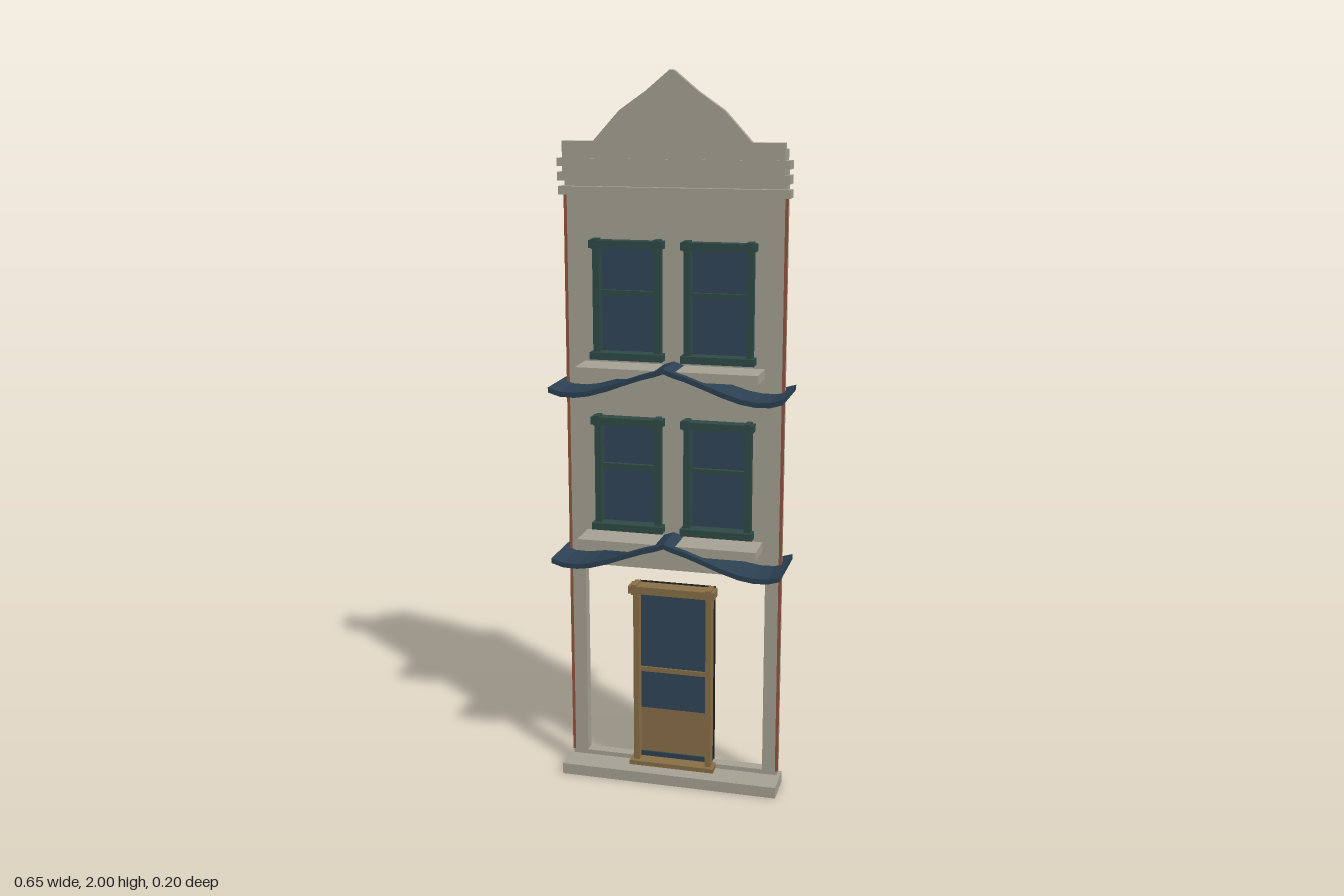
import * as THREE from 'three';

const material = (name, color) => {
  const m = new THREE.MeshStandardMaterial({ color });
  m.name = name;
  return m;
};

export function createModel() {
  const stone = material('stone', 0xa8a496);
  const slate = material('slateBlue', 0x2c4153);
  const glass = material('glass', 0x32475a);
  const green = material('greenTrim', 0x304b46);
  const wood = material('wood', 0x8a7048);
  const dark = material('darkBacking', 0x1d1d1d);
  const brick = material('brickRed', 0x95563f);

  const model = new THREE.Group();
  model.name = 'townhouseFacade';

  // box from its limits on each axis
  const box = (parent, name, mat, x0, x1, y0, y1, z0, z1) => {
    const mesh = new THREE.Mesh(new THREE.BoxGeometry(x1 - x0, y1 - y0, z1 - z0), mat);
    mesh.position.set((x0 + x1) / 2, (y0 + y1) / 2, (z0 + z1) / 2);
    mesh.name = name;
    parent.add(mesh);
    return mesh;
  };
  const rect = (Type, x0, x1, y0, y1) => {
    const p = new Type();
    p.moveTo(x0, y0).lineTo(x1, y0).lineTo(x1, y1).lineTo(x0, y1).closePath();
    return p;
  };
  // flat outline extruded between two depths
  const slab = (name, mat, shape, z0, z1) => {
    const geo = new THREE.ExtrudeGeometry(shape, { depth: z1 - z0, bevelEnabled: false });
    const mesh = new THREE.Mesh(geo, mat);
    mesh.position.z = z0;
    mesh.name = name;
    model.add(mesh);
    return mesh;
  };

  const storeys = [0, 0.488];
  const windowX = [-0.1275, 0.1275];

  // wall with shopfront and window openings
  const wall = rect(THREE.Shape, -0.305, 0.305, 0, 1.75);
  wall.holes.push(rect(THREE.Path, -0.262, 0.262, 0.045, 0.627));
  for (const dy of storeys) {
    for (const x of windowX) {
      wall.holes.push(rect(THREE.Path, x - 0.085, x + 0.085, 0.755 + dy, 1.05 + dy));
    }
  }
  slab('wall', stone, wall, -0.048, -0.016);

  // doorstep and brick edge strips
  box(model, 'doorstep', stone, -0.315, 0.315, 0, 0.032, -0.045, 0.063);
  for (const s of [-1, 1]) {
    const strip = box(model, 'brickEdge', brick, -0.004, 0.004, 0.045, 1.675, -0.02, -0.014);
    strip.position.x = s * 0.304;
  }

  // stepped parapet with a curved gable
  const parapet = (w, base, shoulder, gable, kinkX, kinkY, peak) => {
    const right = [[w, base], [w, shoulder], [gable, shoulder],
      [(gable + kinkX) / 2 + 0.002, (shoulder + kinkY) / 2 - 0.002],
      [kinkX, kinkY], [0.07, kinkY + (peak - kinkY) * 0.48], [0.005, peak]];
    const left = right.map(([x, y]) => [-x, y]).reverse();
    return new THREE.Shape([...right, ...left].map(([x, y]) => new THREE.Vector2(x, y)));
  };
  slab('parapetFront', stone, parapet(0.302, 1.735, 1.817, 0.215, 0.142, 1.897, 2.0), -0.009, 0.012);
  slab('parapetBack', stone, parapet(0.29, 1.74, 1.8, 0.2, 0.13, 1.89, 1.985), -0.048, -0.009);
  for (const s of [-1, 1]) {
    const end = box(model, 'parapetEnd', stone, -0.006, 0.006, 1.74, 1.8, -0.048, -0.009);
    end.position.x = s * 0.296;
  }

  // cornice bands
  for (const [y0, y1, z] of [[1.675, 1.697, 0.005], [1.712, 1.735, 0.01], [1.75, 1.772, 0.014]]) {
    box(model, 'corniceBand', stone, -0.317, 0.317, y0, y1, -0.035, z);
  }

  // sash windows
  const addWindow = (x, dy) => {
    const g = new THREE.Group();
    g.name = 'window';
    g.position.set(x, dy, 0);
    box(g, 'windowBacking', dark, -0.09, 0.09, 0.75, 1.06, -0.059, -0.03);
    box(g, 'windowPane', glass, -0.085, 0.085, 0.755, 1.05, -0.03, -0.025);
    box(g, 'windowHead', green, -0.102, 0.102, 1.047, 1.068, -0.022, 0.02);
    box(g, 'windowSill', green, -0.102, 0.102, 0.742, 0.762, -0.022, 0.02);
    box(g, 'meetingRail', green, -0.085, 0.085, 0.916, 0.93, -0.026, -0.012);
    for (const s of [-1, 1]) {
      const jamb = box(g, 'windowJamb', green, -0.009, 0.009, 0.76, 1.05, -0.026, 0.008);
      jamb.position.x = s * 0.086;
      const block = box(g, 'cornerBlock', green, -0.008, 0.008, 1.045, 1.072, -0.022, 0.022);
      block.position.x = s * 0.086;
    }
    model.add(g);
  };

  // swept awning: half profile mirrored about the ridge
  const half = [[0.324, 0.675], [0.29, 0.665], [0.25, 0.664], [0.21, 0.67], [0.16, 0.685],
    [0.11, 0.704], [0.06, 0.722], [0.025, 0.732], [0, 0.741]];
  const top = [...half, ...half.slice(0, -1).reverse().map(([x, y]) => [-x, y])];
  const under = top.map(([x, y]) => [x, y - 0.014]).reverse();
  const awning = new THREE.Shape([...top, ...under].map(([x, y]) => new THREE.Vector2(x, y)));

  for (const dy of storeys) {
    for (const x of windowX) addWindow(x, dy);
    slab('awning', slate, awning, -0.103, 0.102).position.y = dy;
    box(model, 'balconyLedge', stone, -0.253, 0.253, 0.705 + dy, 0.731 + dy, -0.078, 0.082);
  }

  // door
  const door = new THREE.Group();
  door.name = 'door';
  box(door, 'doorBacking', dark, -0.112, 0.112, 0.034, 0.575, -0.06, -0.026);
  box(door, 'doorLeaf', wood, -0.103, 0.103, 0.045, 0.565, -0.026, -0.02);
  box(door, 'doorUpperPane', glass, -0.1, 0.1, 0.327, 0.56, -0.02, -0.017);
  box(door, 'doorLowerPane', glass, -0.1, 0.1, 0.2, 0.315, -0.02, -0.017);
  box(door, 'doorRail', wood, -0.103, 0.103, 0.314, 0.328, -0.02, -0.012);
  box(door, 'kickStrip', slate, -0.1, 0.1, 0.048, 0.062, -0.02, -0.015);
  box(door, 'doorHead', wood, -0.125, 0.125, 0.56, 0.582, -0.026, 0.02);
  box(door, 'doorSill', wood, -0.125, 0.125, 0.032, 0.045, -0.026, 0.02);
  for (const s of [-1, 1]) {
    const jamb = box(door, 'doorJamb', wood, -0.008, 0.008, 0.04, 0.565, -0.026, 0.008);
    jamb.position.x = s * 0.106;
    const block = box(door, 'doorCornerBlock', wood, -0.008, 0.008, 0.557, 0.587, -0.026, 0.022);
    block.position.x = s * 0.108;
  }
  model.add(door);

  return model;
}
